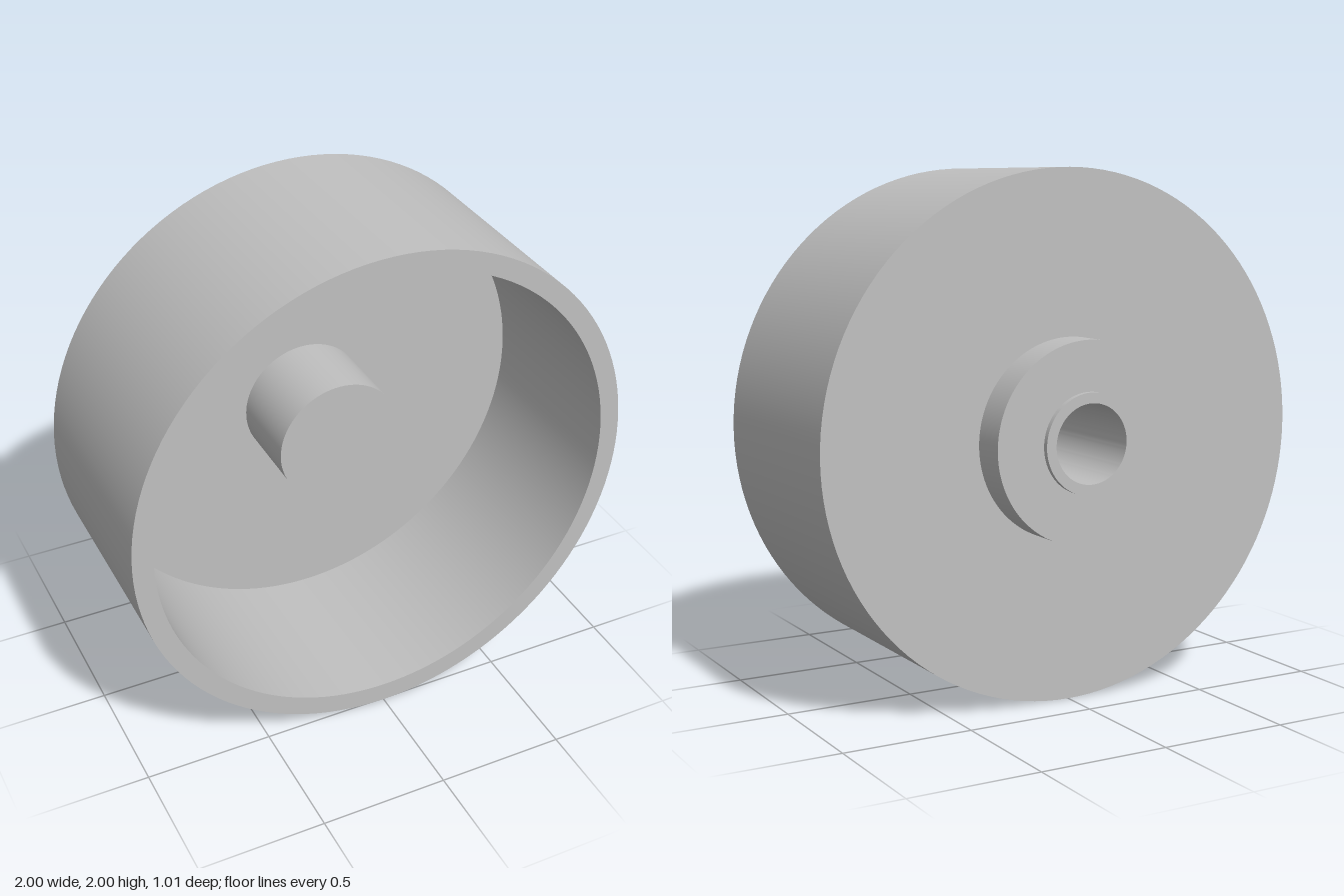
import * as THREE from 'three';
import { toCreasedNormals } from 'three/addons/utils/BufferGeometryUtils.js';

const SEGMENTS = 128;

export function createModel() {
  const model = new THREE.Group();
  model.name = 'wheel';
  const grey = new THREE.MeshStandardMaterial({ color: 0xc0c0c0 });
  grey.name = 'plain grey';

  // Turns a [radius, z] profile around the z axis, keeping its corners sharp
  const turn = (name, profile) => {
    const points = profile.map(([r, z]) => new THREE.Vector2(r, z));
    const geometry = new THREE.LatheGeometry(points, SEGMENTS).rotateX(Math.PI / 2);
    const mesh = new THREE.Mesh(toCreasedNormals(geometry, 0.6), grey);
    mesh.name = name;
    mesh.position.y = 1;
    model.add(mesh);
  };

  // Section planes from back to front
  const collarBack = -0.506, hubBack = -0.485, drumBack = -0.345;
  const floor = -0.23, boreEnd = 0, bossFront = 0.1, rimFront = 0.506;
  // Radii from the axis outwards
  const bore = 0.15, collar = 0.19, boss = 0.25, hub = 0.38, inner = 0.92, outer = 1;

  // Open drum: back plate, outer wall, rim, inner wall and floor
  turn('drum', [[hub, drumBack], [outer, drumBack], [outer, rimFront],
    [inner, rimFront], [inner, floor], [boss, floor]]);
  // Solid-faced boss inside the drum
  turn('boss', [[boss, floor], [boss, bossFront], [0, bossFront]]);
  // Stepped hub on the back
  turn('hub', [[collar, hubBack], [hub, hubBack], [hub, drumBack]]);
  turn('collar', [[bore, collarBack], [collar, collarBack], [collar, hubBack]]);
  // Blind axle hole opening at the back
  turn('axleBore', [[0, boreEnd], [bore, boreEnd], [bore, collarBack]]);

  return model;
}
